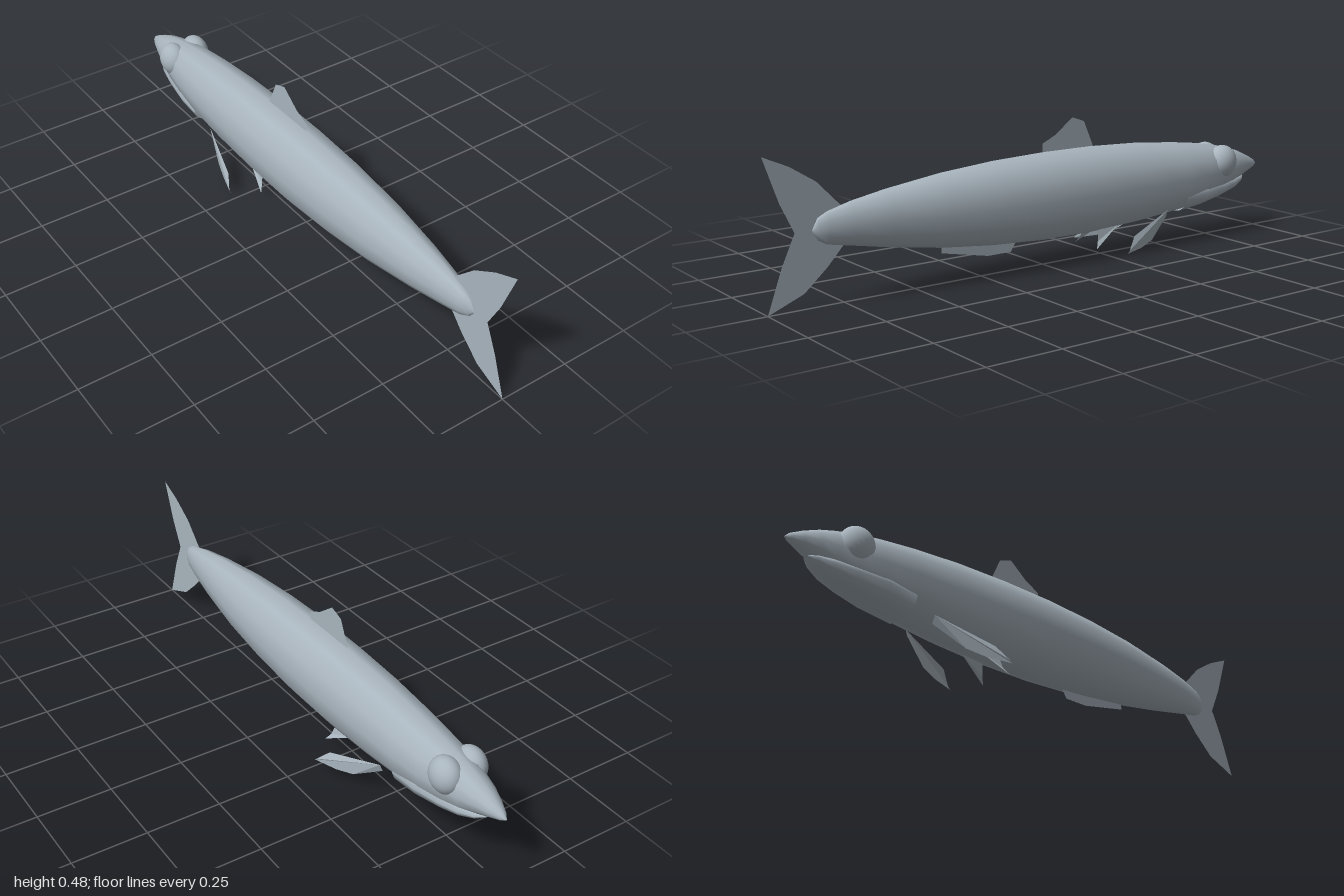
import * as THREE from 'three';

const SIDES = 12;

// Smooth skin through elliptical rings: [z, top y, bottom y, half width], z ascending
function loft(rings) {
  const pos = [], idx = [];
  for (const [z, top, bottom, w] of rings) {
    for (let i = 0; i < SIDES; i++) {
      const a = (i / SIDES) * Math.PI * 2;
      pos.push(Math.sin(a) * w, (top + bottom) / 2 + Math.cos(a) * (top - bottom) / 2, z);
    }
  }
  for (let r = 0; r < rings.length - 1; r++) {
    for (let i = 0; i < SIDES; i++) {
      const a = r * SIDES + i, b = r * SIDES + (i + 1) % SIDES;
      const c = a + SIDES, d = b + SIDES;
      idx.push(a, c, b, b, c, d);
    }
  }
  const g = new THREE.BufferGeometry();
  g.setAttribute('position', new THREE.Float32BufferAttribute(pos, 3));
  g.setIndex(idx);
  g.computeVertexNormals();
  return g;
}

// Flat sheet fin from an outline of [x, y, z] points
function fin(points) {
  const outline = points.map(([, y, z]) => new THREE.Vector2(z, y));
  const pos = [];
  for (const face of THREE.ShapeUtils.triangulateShape(outline, [])) {
    for (const i of face) pos.push(...points[i]);
  }
  const g = new THREE.BufferGeometry();
  g.setAttribute('position', new THREE.Float32BufferAttribute(pos, 3));
  g.computeVertexNormals();
  return g;
}

// Fin standing in the middle plane, outline of [z, y] points
const middleFin = (points) => fin(points.map(([z, y]) => [0, y, z]));

export function createModel() {
  const group = new THREE.Group();
  const skin = new THREE.MeshStandardMaterial({ color: 0xa9b5be, side: THREE.DoubleSide });
  skin.name = 'silver grey';

  const add = (name, geometry) => {
    const mesh = new THREE.Mesh(geometry, skin);
    mesh.name = name;
    group.add(mesh);
    return mesh;
  };

  // Body with pointed snout and blunt tail stalk
  add('body', loft([
    [-1, 0.241, 0.235, 0.003],
    [-0.985, 0.255, 0.226, 0.014],
    [-0.95, 0.274, 0.214, 0.03],
    [-0.9, 0.296, 0.195, 0.047],
    [-0.85, 0.312, 0.17, 0.06],
    [-0.78, 0.329, 0.146, 0.073],
    [-0.7, 0.343, 0.126, 0.086],
    [-0.58, 0.358, 0.108, 0.097],
    [-0.4, 0.374, 0.092, 0.105],
    [-0.2, 0.382, 0.083, 0.109],
    [0, 0.382, 0.085, 0.11],
    [0.2, 0.375, 0.097, 0.102],
    [0.4, 0.359, 0.118, 0.087],
    [0.6, 0.332, 0.15, 0.062],
    [0.72, 0.31, 0.173, 0.042],
    [0.8, 0.288, 0.188, 0.024],
    [0.83, 0.272, 0.204, 0.013],
    [0.848, 0.238, 0.23, 0.002],
  ]));

  // Lower jaw, ending short of the snout
  add('lowerJaw', loft([
    [-0.925, 0.204, 0.196, 0.012],
    [-0.9, 0.21, 0.178, 0.034],
    [-0.85, 0.215, 0.156, 0.054],
    [-0.78, 0.22, 0.138, 0.069],
    [-0.68, 0.225, 0.12, 0.084],
    [-0.58, 0.22, 0.109, 0.085],
  ]));

  // Fins along the middle plane
  add('dorsalFin', middleFin([
    [0, 0.36], [0, 0.41], [-0.055, 0.435], [-0.125, 0.487], [-0.175, 0.47], [-0.225, 0.36],
  ]));
  add('analFin', middleFin([
    [0.4, 0.14], [0.4, 0.1], [0.22, 0.064], [0.13, 0.064], [0.1, 0.11],
  ]));
  add('tailFin', middleFin([
    [0.74, 0.29], [0.83, 0.382], [0.915, 0.435], [1, 0.472], [0.95, 0.33], [0.905, 0.237],
    [0.95, 0.14], [1, 0.002], [0.88, 0.05], [0.8, 0.12], [0.74, 0.185],
  ]));

  // Paired eyes and fins
  for (const [side, s] of [['left', 1], ['right', -1]]) {
    const eye = add(side + 'Eye', new THREE.SphereGeometry(1, 24, 16));
    eye.scale.set(0.047, 0.06, 0.06);
    eye.position.set(s * 0.045, 0.273, -0.782);

    const mirror = (points) => fin(points.map(([x, y, z]) => [s * x, y, z]));
    add(side + 'PectoralFin', mirror([
      [0.07, 0.135, -0.5], [0.06, 0.108, -0.5], [0.1, 0.046, -0.4],
      [0.12, 0.032, -0.335], [0.146, 0.028, -0.25], [0.145, 0.037, -0.26], [0.122, 0.078, -0.3],
    ]));
    add(side + 'PelvicFin', mirror([
      [0.03, 0.105, -0.31], [0.062, 0.037, -0.185], [0.048, 0.06, -0.2], [0.038, 0.1, -0.21],
    ]));
  }
  return group;
}
